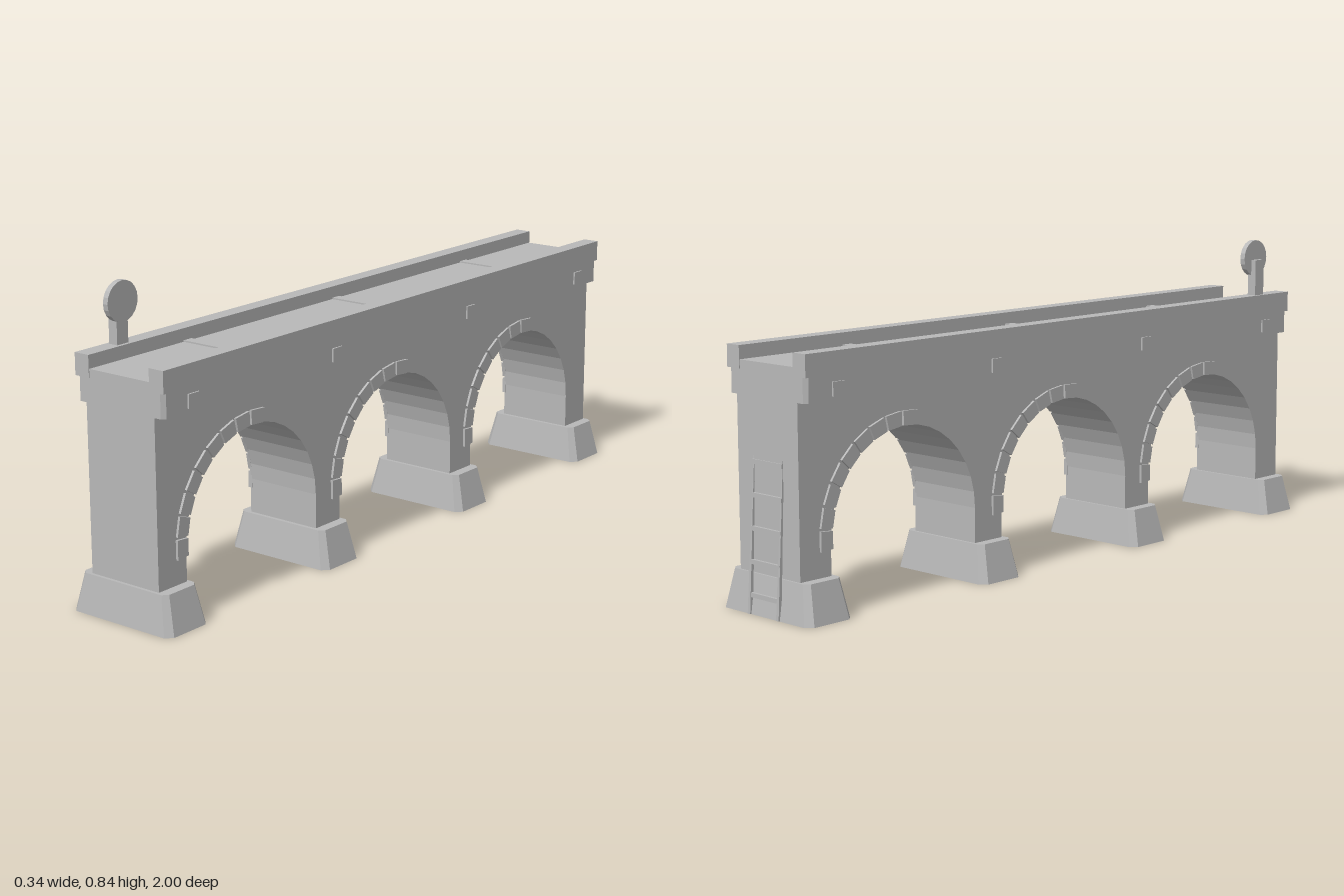
import * as THREE from 'three';

const stone = new THREE.MeshStandardMaterial({ color: 0xb8b8b8, flatShading: true });
stone.name = 'grey stone';
const stoneShell = stone.clone();
stoneShell.side = THREE.DoubleSide;

const PIERS = [0.925, 0.31, -0.307, -0.922];
const ARCHES = [0.616, 0, -0.616];
const END = 0.976, SPRING = 0.2, RADIUS = 0.257, HALF_WIDTH = 0.115;

function add(parent, name, geometry, material = stone) {
  const mesh = new THREE.Mesh(geometry, material);
  mesh.name = name;
  parent.add(mesh);
  return mesh;
}

// Box given by its minimum and maximum corners
function box(parent, name, [x0, y0, z0], [x1, y1, z1]) {
  const mesh = add(parent, name, new THREE.BoxGeometry(x1 - x0, y1 - y0, z1 - z0));
  mesh.position.set((x0 + x1) / 2, (y0 + y1) / 2, (z0 + z1) / 2);
  return mesh;
}

// Extrudes a (z, y) outline along x between x0 and x1
function extrudeAcross(shape, x0, x1) {
  const g = new THREE.ExtrudeGeometry(shape, { depth: x1 - x0, bevelEnabled: false });
  return g.translate(0, 0, -x1).rotateY(-Math.PI / 2);
}

// Rectangle with cut corners, counter-clockwise
function cutRectangle(w, d, c) {
  return [[w, -d + c], [w, d - c], [w - c, d], [-w + c, d],
    [-w, d - c], [-w, -d + c], [-w + c, -d], [w - c, -d]];
}

// Tapered shell with cut corners, closed on top and open below
function footingGeometry() {
  const low = cutRectangle(0.17, 0.076, 0.018), high = cutRectangle(0.145, 0.06, 0.014);
  const pos = [], h = 0.104;
  for (let i = 0; i < 8; i++) {
    const j = (i + 1) % 8;
    const a = [low[i][0], 0, low[i][1]], b = [low[j][0], 0, low[j][1]];
    const c = [high[j][0], h, high[j][1]], d = [high[i][0], h, high[i][1]];
    pos.push(...a, ...c, ...b, ...a, ...d, ...c, ...d, 0, h, 0, ...c);
  }
  const g = new THREE.BufferGeometry();
  g.setAttribute('position', new THREE.Float32BufferAttribute(pos, 3));
  g.computeVertexNormals();
  return g;
}

export function createModel() {
  const model = new THREE.Group();
  model.name = 'archedBridge';

  // Wall with three arches cut from below
  const outline = new THREE.Shape();
  outline.moveTo(-END, 0.1);
  for (const centre of [...ARCHES].reverse()) {
    outline.lineTo(centre - RADIUS, 0.1);
    for (let i = 0; i <= 18; i++) {
      const a = Math.PI * (1 - i / 18);
      outline.lineTo(centre + RADIUS * Math.cos(a), SPRING + RADIUS * Math.sin(a));
    }
    outline.lineTo(centre + RADIUS, 0.1);
  }
  outline.lineTo(END, 0.1);
  outline.lineTo(END, 0.56);
  outline.lineTo(-END, 0.56);
  add(model, 'archedWall', extrudeAcross(outline, -HALF_WIDTH, HALF_WIDTH));

  // Footings under the piers
  const footing = footingGeometry();
  for (const z of PIERS) add(model, 'footing', footing, stoneShell).position.z = z;

  // Raised arch stones on one half of each arch, mirrored front to back across the bridge
  const stones = new THREE.Group();
  stones.name = 'archStones';
  model.add(stones);
  for (const side of [1, -1]) {
    for (const centre of ARCHES) {
      for (let i = 0; i < 9; i++) {
        const a0 = -0.1 + i * 0.205, a1 = a0 + 0.18;
        const at = (r, a) => new THREE.Vector2(centre + side * r * Math.cos(a), SPRING + r * Math.sin(a));
        const s = new THREE.Shape([at(RADIUS, a0), at(0.296, a0), at(0.296, a1), at(RADIUS, a1)]);
        const inner = side * (HALF_WIDTH - 0.005), outer = side * (HALF_WIDTH + 0.007);
        add(stones, 'archStone', extrudeAcross(s, Math.min(inner, outer), Math.max(inner, outer)));
      }
    }
  }

  // Cornice band with cut corners
  const band = new THREE.Shape(cutRectangle(0.146, END, 0.01).map(([x, z]) => new THREE.Vector2(x, z)));
  const bandGeometry = new THREE.ExtrudeGeometry(band, { depth: 0.065, bevelEnabled: false });
  add(model, 'cornice', bandGeometry.rotateX(-Math.PI / 2)).position.y = 0.555;

  // Deck, parapets and square side plates
  box(model, 'deck', [-0.103, 0.615, -END], [0.103, 0.643, END]);
  for (const s of [1, -1]) {
    const parapet = box(model, 'parapet', [0.102, 0.62, -0.978], [0.149, 0.679, 0.978]);
    parapet.position.x *= s;
    for (const z of [0.87, 0.306, -0.306, -0.87]) {
      const plate = box(model, 'sidePlate', [0.144, 0.565, z - 0.02], [0.151, 0.602, z + 0.02]);
      plate.position.x *= s;
    }
  }
  for (const z of ARCHES) box(model, 'deckStrip', [-0.102, 0.64, z - 0.015], [0.102, 0.647, z + 0.015]);

  // Round sign on a post
  box(model, 'signPost', [-0.14, 0.675, 0.825], [-0.112, 0.785, 0.865]);
  const disc = add(model, 'signDisc', new THREE.CylinderGeometry(0.054, 0.054, 0.016, 20));
  disc.rotation.z = Math.PI / 2;
  disc.position.set(-0.116, 0.79, 0.845);

  // Leaning ladder on the back end
  const ladder = new THREE.Group();
  ladder.name = 'ladder';
  model.add(ladder);
  const lean = 0.024 / 0.43;
  for (const x of [-0.055, 0.055]) {
    const g = new THREE.CylinderGeometry(0.002, 0.007, 0.43, 4).rotateY(Math.PI / 4);
    const rail = add(ladder, 'ladderRail', g);
    rail.position.set(x, 0.215, -0.985);
    rail.rotation.x = Math.atan(lean);
  }
  for (let i = 0; i < 5; i++) {
    const y = 0.05 + i * 0.085;
    const rung = add(ladder, 'ladderRung', new THREE.BoxGeometry(0.112, 0.012, 0.008));
    rung.position.set(0, y, -0.997 + y * lean);
  }
  return model;
}
